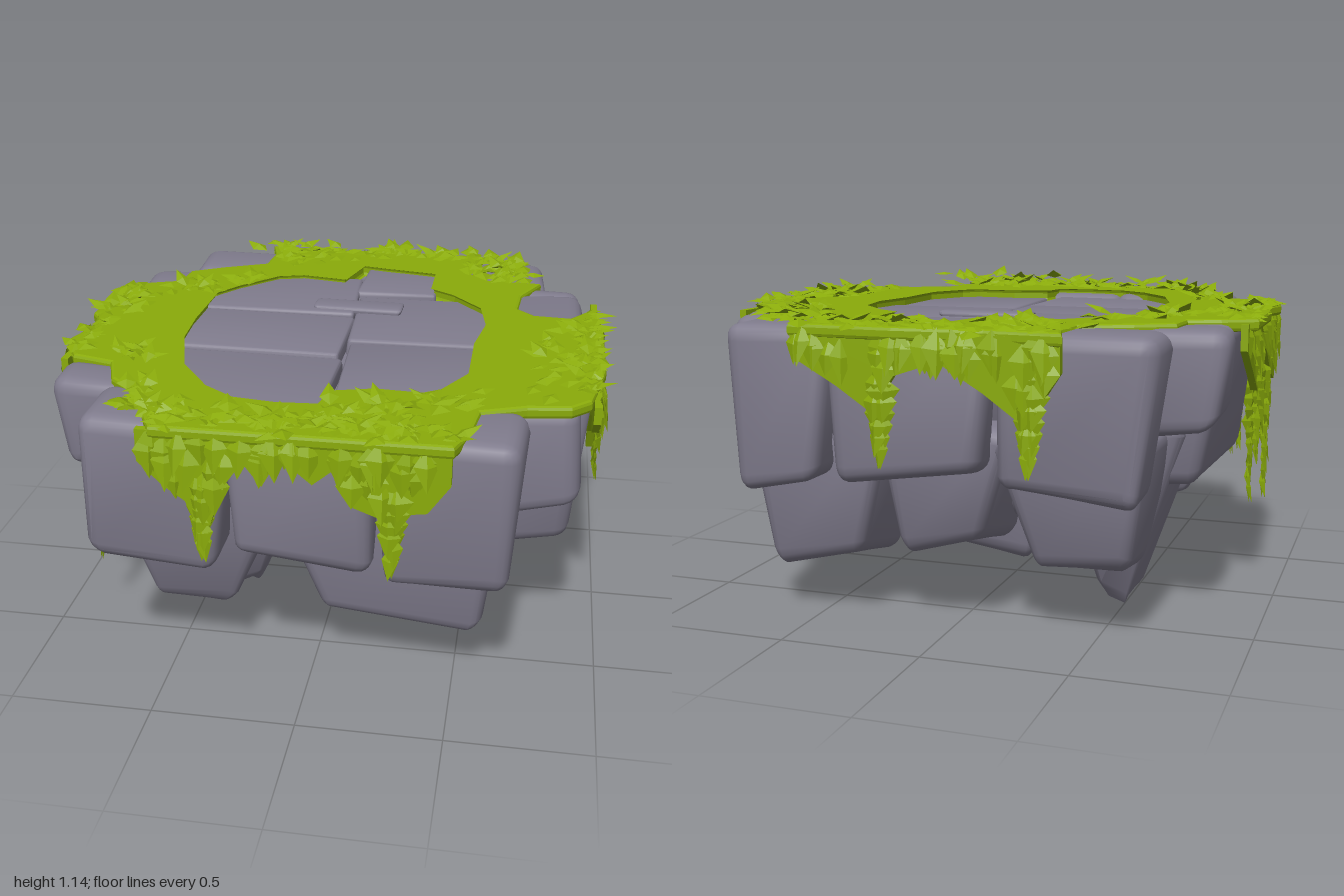
import * as THREE from 'three';
import { mergeGeometries, mergeVertices, toCreasedNormals } from 'three/addons/utils/BufferGeometryUtils.js';
import { RoundedBoxGeometry } from 'three/addons/geometries/RoundedBoxGeometry.js';

const stone = new THREE.MeshStandardMaterial({ color: 0x807c8d });
stone.name = 'stone grey';
const moss = new THREE.MeshStandardMaterial({ color: 0x8aab0a, side: THREE.DoubleSide });
moss.name = 'moss green';

let seed = 7;
function rand(a = 0, b = 1) {
  seed = (seed * 16807) % 2147483647;
  return a + (b - a) * (seed / 2147483647);
}

// Rounded block between two corners, narrowing to `taper` at its foot and leaning by (dx, dz)
function rock(name, [x0, x1], [y0, y1], [z0, z1], taper = 0.85, dx = 0, dz = 0, radius = 0.055) {
  const w = x1 - x0, h = y1 - y0, d = z1 - z0;
  let g = new RoundedBoxGeometry(w, h, d, 2, Math.min(radius, h * 0.4, w * 0.4, d * 0.4));
  g.deleteAttribute('normal');
  g.deleteAttribute('uv');
  g = mergeVertices(g, 1e-4);
  const p = g.attributes.position;
  const k = rand(0, 6);
  const rough = Math.min(0.016, h * 0.1);
  for (let i = 0; i < p.count; i++) {
    const x = p.getX(i), y = p.getY(i), z = p.getZ(i);
    const t = THREE.MathUtils.clamp(0.5 - y / h, 0, 1);
    const s = 1 - (1 - taper) * Math.pow(t, 1.5);
    p.setXYZ(i,
      x * s + dx * t + rough * Math.sin(9 * y + 5 * z + k),
      y + 2 * rough * t * Math.sin(7 * x - 6 * z + k * 2),
      z * s + dz * t + rough * Math.sin(8 * x + 7 * y + k * 3));
  }
  const mesh = new THREE.Mesh(toCreasedNormals(g, 0.6), stone);
  mesh.position.set((x0 + x1) / 2, (y0 + y1) / 2, (z0 + z1) / 2);
  mesh.name = name;
  return mesh;
}

// Folded kite-shaped leaf; positive pitch points it down
function leaf(pos, yaw, pitch, len, wid, roll = 0) {
  const f = wid * 0.2;
  const b = [0, 0, 0], l = [-wid, -f, len * 0.4], r = [wid, -f, len * 0.4], m = [0, f, len * 0.45], t = [0, -f, len];
  const g = new THREE.BufferGeometry();
  g.setAttribute('position', new THREE.Float32BufferAttribute([b, l, m, l, t, m, t, r, m, r, b, m].flat(), 3));
  g.applyMatrix4(new THREE.Matrix4().makeRotationFromEuler(new THREE.Euler(pitch, yaw, roll, 'YXZ')));
  g.translate(...pos);
  g.computeVertexNormals();
  return g;
}

const onWall = (a, u, y, d) => [u * Math.cos(a) + d * Math.sin(a), y, -u * Math.sin(a) + d * Math.cos(a)];

function lerpProfile(pts, u) {
  for (let i = 1; i < pts.length; i++) {
    const [a, ya] = pts[i - 1], [b, yb] = pts[i];
    if (u <= b) return ya + (yb - ya) * (u - a) / (b - a);
  }
  return pts[pts.length - 1][1];
}

// Ragged moss curtain on a wall facing angle a, covered in hanging leaves
function drape(name, a, d, pts, count) {
  const group = new THREE.Group();
  group.name = name;
  const u0 = pts[0][0], u1 = pts[pts.length - 1][0];
  const shape = new THREE.Shape([[u0, 1.04], ...pts, [u1, 1.04]].map(p => new THREE.Vector2(...p)));
  const cloth = new THREE.Mesh(new THREE.ExtrudeGeometry(shape, { depth: 0.025, bevelEnabled: false }), moss);
  cloth.geometry.translate(0, 0, d);
  cloth.rotation.y = a;
  cloth.name = name + 'Sheet';
  const leaves = [];
  for (let i = 0; i < count; i++) {
    const u = rand(u0 + 0.02, u1 - 0.02), low = lerpProfile(pts, u), len = rand(0.11, 0.17);
    const y = Math.min(1.06, low + len * 0.85 + rand() * Math.max(0, 0.96 - low));
    leaves.push(leaf(onWall(a, u, y, d + 0.022), a + rand(-0.35, 0.35), rand(1.25, 1.5), len, rand(0.035, 0.055), rand(-0.25, 0.1)));
  }
  const foliage = new THREE.Mesh(mergeGeometries(leaves), moss);
  foliage.name = name + 'Leaves';
  group.add(cloth, foliage);
  return group;
}

// Dangling chain of leaves, slimmer towards the tip
function vine(a, u, d, top, bottom) {
  const leaves = [];
  const n = Math.ceil((top - bottom) / 0.055);
  for (let i = 0; i < n; i++) {
    const t = i / (n - 1), y = top + (bottom + 0.11 - top) * t;
    for (const s of [-1, 1]) {
      leaves.push(leaf(onWall(a, u + s * 0.012 * (1 - t), y, d), a + s * rand(0.1, 0.6), rand(1.3, 1.5), 0.115, 0.055 * (1 - 0.5 * t), s * 0.2));
    }
  }
  const mesh = new THREE.Mesh(mergeGeometries(leaves), moss);
  mesh.name = 'vine';
  return mesh;
}

// Leaves scattered in a band between two ground points
function tuft(name, [x0, z0], [x1, z1], spread, count, lift = 0) {
  const leaves = [];
  for (let i = 0; i < count; i++) {
    const t = rand(), ang = rand(0, 6.28), r = spread * Math.sqrt(rand());
    const x = THREE.MathUtils.clamp(x0 + (x1 - x0) * t + r * Math.cos(ang), -0.9, 0.9);
    const z = THREE.MathUtils.clamp(z0 + (z1 - z0) * t + r * Math.sin(ang), -0.91, 0.91);
    leaves.push(leaf([x, 1.05 + rand(0, 0.02) + lift * rand(), z], rand(0, 6.28), rand(-0.5, 0.15), rand(0.07, 0.115), rand(0.025, 0.04)));
  }
  const mesh = new THREE.Mesh(mergeGeometries(leaves), moss);
  mesh.name = name;
  return mesh;
}

export function createModel() {
  seed = 7;
  const model = new THREE.Group();
  model.name = 'floatingRockIsland';
  const R = (...args) => model.add(rock(...args));

  // Core
  R('core', [-0.7, 0.7], [0.35, 0.97], [-0.74, 0.74], 0.65);

  // Upper ring of boulders: front, right, back, left
  R('frontRock', [-0.73, -0.23], [0.52, 1.045], [0.62, 0.92], 0.86);
  R('frontRock', [-0.24, 0.25], [0.55, 1.04], [0.66, 0.9], 0.92);
  R('frontRock', [0.25, 0.71], [0.5, 1.045], [0.6, 0.92], 0.86);
  R('rightRock', [0.55, 0.9], [0.45, 1.045], [-0.54, 0.51], 0.85, 0.01);
  R('rightRock', [0.55, 0.89], [0.67, 1.04], [0.46, 0.62], 0.92);
  R('rightRock', [0.6, 0.88], [0.66, 1.04], [-0.63, -0.5], 0.92);
  R('backRock', [0.36, 0.73], [0.5, 1.045], [-0.92, -0.58], 0.84);
  R('backRock', [-0.2, 0.37], [0.55, 1.04], [-0.91, -0.75], 0.9);
  R('backRock', [-0.73, -0.2], [0.52, 1.045], [-0.92, -0.62], 0.84);
  R('leftRock', [-0.88, -0.56], [0.5, 1.04], [-0.48, 0.44], 0.82, 0.07);
  R('leftRock', [-0.9, -0.6], [0.71, 1.04], [0.42, 0.63], 0.9, 0.02);
  R('leftRock', [-0.9, -0.6], [0.71, 1.04], [-0.63, -0.38], 0.9, 0.02);

  // Lower boulders and hanging teeth
  R('lowerRock', [-0.68, -0.08], [0.22, 0.72], [0.36, 0.74], 0.4, -0.06);
  R('lowerRock', [-0.1, 0.66], [0.22, 0.7], [0.38, 0.74], 0.7, 0.02, -0.02);
  R('lowerRock', [0.22, 0.74], [0.2, 0.7], [-0.8, -0.38], 0.66);
  R('lowerRock', [-0.22, 0.26], [0.28, 0.72], [-0.8, -0.35], 0.6);
  R('lowerRock', [-0.7, -0.18], [0.24, 0.7], [-0.8, -0.32], 0.6);
  R('lowerRock', [-0.78, -0.35], [0.35, 0.75], [0.05, 0.5], 0.6, 0.04);
  R('lowerRock', [-0.25, 0.35], [0.19, 0.6], [-0.42, 0.08], 0.75);
  R('lowerRock', [0.1, 0.72], [0.36, 0.7], [0.0, 0.45], 0.7);
  R('toothRock', [-0.75, -0.25], [0.01, 0.72], [-0.5, 0.1], 0.17, 0.03);
  R('toothRock', [-0.64, -0.08], [0.08, 0.62], [-0.04, 0.48], 0.2, 0.02);
  R('toothRock', [0.28, 0.78], [0.15, 0.68], [-0.42, 0.1], 0.42, 0.02);

  // Paving slabs in the clearing
  const slab = (x, z, top) => R('pavingSlab', x, [0.9, top], z, 1, 0, 0, 0.015);
  slab([-0.6, 0.005], [-0.62, -0.2], 1.04);
  slab([-0.6, 0.03], [-0.19, 0.205], 1.03);
  slab([-0.6, 0.04], [0.22, 0.76], 1.025);
  slab([0, 0.32], [-0.76, -0.44], 1.04);
  slab([0.02, 0.57], [-0.43, 0.05], 1.03);
  slab([0.055, 0.57], [0.065, 0.64], 1.025);
  R('brokenRidge', [-0.16, 0.2], [1.0, 1.05], [-0.33, -0.22], 0.7, 0, 0, 0.03);

  // Moss ring with an irregular opening
  const outline = [[-0.45, -0.95], [-0.2, -0.93], [0.1, -0.95], [0.46, -0.94], [0.44, -0.83], [0.4, -0.72], [0.5, -0.62],
    [0.71, -0.61], [0.64, -0.46], [0.63, -0.3], [0.7, -0.23], [0.84, -0.22], [0.92, -0.33], [0.95, -0.1], [0.95, 0.28],
    [0.9, 0.54], [0.84, 0.6], [0.7, 0.62], [0.55, 0.68], [0.53, 0.84], [0.49, 0.95], [-0.45, 0.95], [-0.5, 0.85],
    [-0.6, 0.67], [-0.68, 0.6], [-0.73, 0.46], [-0.88, 0.42], [-0.95, 0.28], [-0.89, 0.08], [-0.95, 0], [-0.95, -0.32],
    [-0.84, -0.38], [-0.73, -0.42], [-0.72, -0.55], [-0.6, -0.62], [-0.43, -0.7], [-0.42, -0.85]];
  const opening = [[-0.02, -0.73], [0.07, -0.71], [0.29, -0.67], [0.29, -0.48], [0.38, -0.42], [0.5, -0.28], [0.53, -0.1],
    [0.5, 0.1], [0.5, 0.38], [0.42, 0.53], [0.36, 0.57], [0.2, 0.56], [0.06, 0.6], [0.04, 0.71], [-0.1, 0.72],
    [-0.25, 0.7], [-0.36, 0.62], [-0.48, 0.45], [-0.55, 0.2], [-0.56, 0], [-0.55, -0.3], [-0.48, -0.4], [-0.35, -0.54],
    [-0.25, -0.57], [-0.07, -0.54]];
  const flat = pts => pts.map(([x, z]) => new THREE.Vector2(x, -z));
  const shape = new THREE.Shape(flat(outline));
  shape.holes.push(new THREE.Path(flat(opening)));
  const ring = new THREE.Mesh(new THREE.ExtrudeGeometry(shape,
    { depth: 0.02, bevelThickness: 0.012, bevelSize: 0.012, bevelOffset: -0.004, bevelSegments: 2 }), moss);
  ring.geometry.rotateX(-Math.PI / 2);
  ring.position.y = 1.025;
  ring.name = 'mossRing';
  model.add(ring);

  // Hanging curtains
  const Q = Math.PI / 2;
  model.add(
    drape('frontDrape', 0, 0.925, [[-0.5, 0.93], [-0.42, 0.85], [-0.35, 0.8], [-0.31, 0.7], [-0.27, 0.72], [-0.23, 0.85],
      [-0.16, 0.95], [-0.1, 0.87], [-0.05, 0.98], [0.06, 0.89], [0.12, 0.94], [0.19, 0.82], [0.27, 0.79], [0.31, 0.7],
      [0.35, 0.81], [0.42, 0.82], [0.49, 0.92]], 50),
    drape('rightDrape', Q, 0.915, [[-0.56, 0.98], [-0.49, 0.92], [-0.42, 0.95], [-0.3, 0.9], [-0.22, 0.8], [-0.18, 0.72],
      [-0.13, 0.85], [-0.05, 0.96], [0.06, 0.97], [0.13, 0.85], [0.2, 0.9], [0.28, 0.74], [0.34, 0.86], [0.44, 0.88]], 42),
    drape('backDrape', 2 * Q, 0.92, [[-0.46, 0.95], [-0.3, 0.86], [-0.18, 0.78], [-0.1, 0.9], [0.05, 0.95], [0.2, 0.86],
      [0.34, 0.76], [0.45, 0.93]], 42),
    drape('leftDrape', -Q, 0.905, [[-0.37, 0.95], [-0.22, 0.86], [-0.1, 0.78], [0, 0.92], [0.12, 0.9], [0.25, 0.8],
      [0.36, 0.76], [0.43, 0.9]], 42));

  // Vines: wall angle, position along it, distance out, top, bottom
  [[0, -0.3, 0.945, 0.9, 0.59], [0, 0.31, 0.945, 0.9, 0.58],
    [Q, -0.19, 0.945, 0.9, 0.59], [Q, 0.28, 0.945, 0.9, 0.59], [Q, 0.13, 0.945, 0.95, 0.77],
    [2 * Q, -0.15, 0.945, 0.9, 0.6], [2 * Q, 0.35, 0.945, 0.9, 0.6],
    [-Q, -0.1, 0.935, 0.9, 0.62], [-Q, 0.3, 0.905, 0.98, 0.3], [-Q, 0.24, 0.915, 0.9, 0.45],
    [-Q, 0.44, 0.83, 0.76, 0.24], [-Q, 0.42, 0.86, 0.9, 0.4], [-Q, 0.46, 0.75, 0.74, 0.43],
    [-Q, 0.46, 0.78, 0.74, 0.45]].forEach(v => model.add(vine(...v)));

  // Leaf tufts along the rim
  model.add(
    tuft('frontTuft', [-0.5, 0.87], [0.5, 0.9], 0.08, 105, 0.01),
    tuft('frontTuft', [0.1, 0.83], [0.5, 0.68], 0.06, 40, 0.05),
    tuft('frontTuft', [-0.5, 0.85], [-0.57, 0.66], 0.05, 22),
    tuft('leftTuft', [-0.9, -0.3], [-0.88, -0.03], 0.08, 40),
    tuft('leftTuft', [-0.75, -0.28], [-0.42, -0.5], 0.06, 32),
    tuft('leftTuft', [-0.92, 0.12], [-0.92, 0.38], 0.04, 18),
    tuft('leftTuft', [-0.68, 0.35], [-0.6, 0.45], 0.06, 14),
    tuft('backTuft', [-0.44, -0.9], [0.46, -0.91], 0.06, 75, 0.01),
    tuft('backTuft', [-0.4, -0.78], [-0.2, -0.72], 0.06, 14),
    tuft('backTuft', [0.5, -0.78], [0.6, -0.7], 0.12, 55, 0.02),
    tuft('rightTuft', [0.92, -0.3], [0.9, 0.52], 0.05, 55),
    tuft('rightTuft', [0.78, -0.1], [0.78, 0.5], 0.07, 22));
  return model;
}
